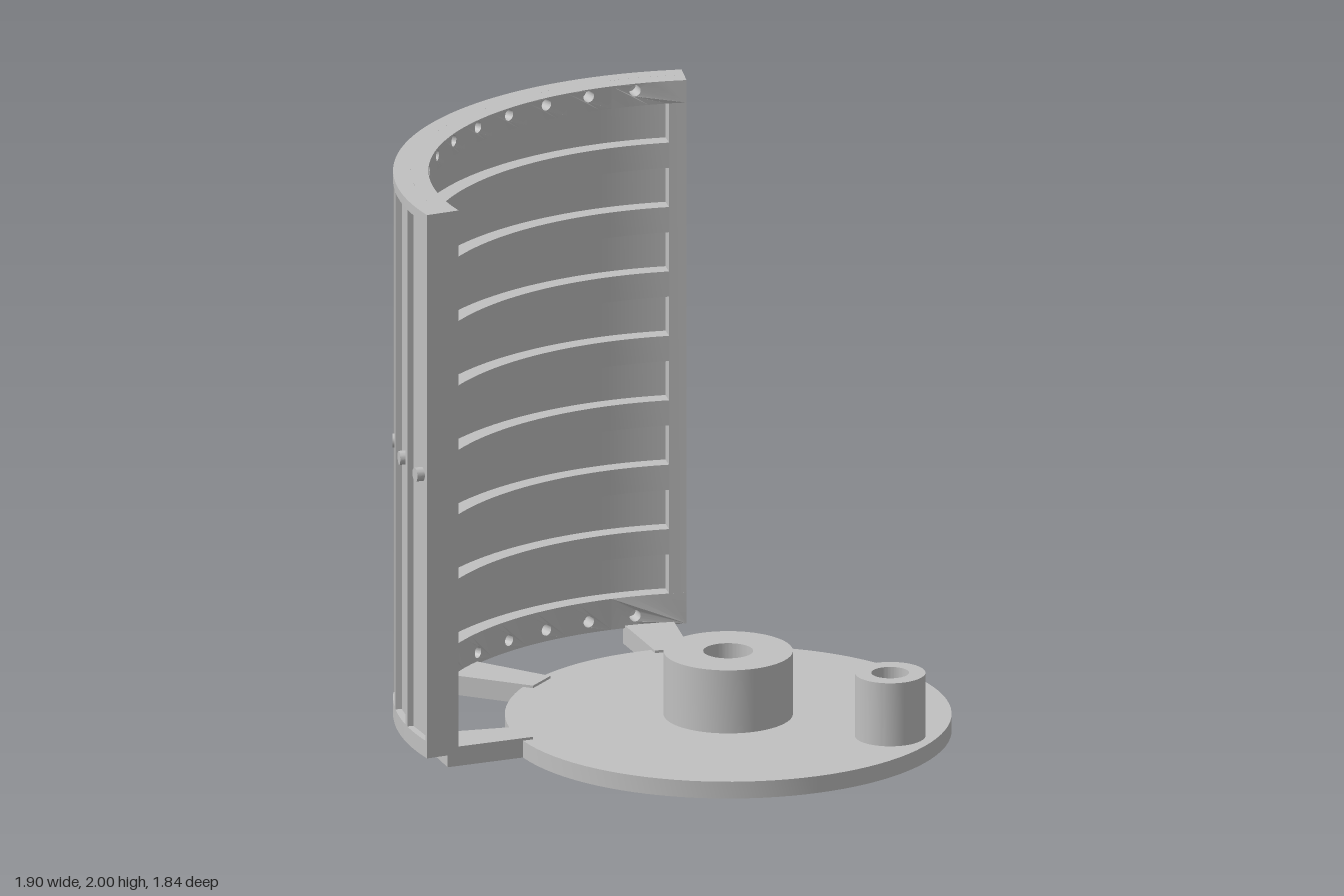
import * as THREE from 'three';
import { toCreasedNormals } from 'three/addons/utils/BufferGeometryUtils.js';

const CX = 0.185, CZ = 0.16;            // common axis of disc and curved wall
const R_IN = 1.02, R_GROOVE = 1.08, R_PANEL = 1.115, R_OUT = 1.14;
const A0 = -72, A1 = 36;                // wall span in degrees, measured from -x towards +z
const BASE = 0.06, TOP = 2;
const PANELS = 11, STEP = (A1 - A0) / PANELS;
const rad = THREE.MathUtils.degToRad;

export function createModel() {
  const model = new THREE.Group();
  const grey = new THREE.MeshStandardMaterial({ color: 0xc0c0c0 });
  grey.name = 'light grey';

  const add = (name, geometry, parent = model) => {
    const mesh = new THREE.Mesh(toCreasedNormals(geometry, 0.15), grey);
    mesh.name = name;
    parent.add(mesh);
    return mesh;
  };
  const group = (name) => {
    const g = new THREE.Group();
    g.name = name;
    model.add(g);
    return g;
  };
  // plan point at an angle and radius about the axis (shape y is -z)
  const polar = (deg, r) => new THREE.Vector2(CX - r * Math.cos(rad(deg)), -(CZ + r * Math.sin(rad(deg))));
  // extrude a plan shape upwards from y0 to y1
  const slab = (shape, y0, y1) =>
    new THREE.ExtrudeGeometry(shape, { depth: y1 - y0, bevelEnabled: false, curveSegments: 48 })
      .rotateX(-Math.PI / 2).translate(0, y0, 0);
  // curved block between two angles, radii and heights
  const arcBlock = (a0, a1, r0, r1, y0, y1, outerSegs) => {
    const n = Math.max(1, Math.ceil((a1 - a0) / 2)), m = outerSegs || n;
    const pts = [];
    for (let i = 0; i <= n; i++) pts.push(polar(a0 + (a1 - a0) * i / n, r0));
    for (let i = m; i >= 0; i--) pts.push(polar(a0 + (a1 - a0) * i / m, r1));
    return slab(new THREE.Shape(pts), y0, y1);
  };
  // disc or ring with round holes
  const ring = (x, z, r, holes, y0, y1) => {
    const shape = new THREE.Shape().absarc(x, -z, r, 0, Math.PI * 2);
    for (const [hx, hz, hr] of holes) shape.holes.push(new THREE.Path().absarc(hx, -hz, hr, 0, Math.PI * 2, true));
    return slab(shape, y0, y1);
  };

  // base disc with its two hollow bosses
  const hubHole = [CX, CZ, 0.085], pegHole = [0.77, 0.305, 0.064];
  add('baseDisc', ring(CX, CZ, 0.76, [hubHole, pegHole], 0, BASE));
  add('centreHub', ring(CX, CZ, 0.22, [hubHole], BASE, 0.285));
  add('sideBoss', ring(0.77, 0.305, 0.12, [pegHole], BASE, 0.285));

  // tapered arms joining disc and wall
  const arms = group('supportArms');
  for (const a of [64.7, 18.2, -28.4]) {
    const c = Math.cos(rad(-a)), s = Math.sin(rad(-a));
    const pt = (r, w) => new THREE.Vector2(CX - r * c - w * s, -(CZ + r * s - w * c));
    const shape = new THREE.Shape([pt(0.72, -0.062), pt(1.035, -0.088), pt(1.035, 0.088), pt(0.72, 0.062)]);
    add('supportArm', slab(shape, 0, 0.069), arms);
  }

  // wall core: groove floor inside, flat panel floors outside
  add('wallCore', arcBlock(A0, A1, R_GROOVE, R_PANEL / Math.cos(rad(STEP / 2)), BASE, TOP, PANELS));

  // outer frame: rims, upright ribs and a knob in each panel
  const frame = group('outerFrame');
  add('bottomRim', arcBlock(A0, A1, R_PANEL - 0.005, R_OUT, BASE, 0.12), frame);
  add('topRim', arcBlock(A0, A1, R_PANEL - 0.005, R_OUT, 1.965, TOP), frame);
  for (let i = 0; i <= PANELS; i++) {
    const a = A0 + STEP * i;
    add('uprightRib', arcBlock(Math.max(A0, a - 0.6), Math.min(A1, a + 0.6),
      R_PANEL - 0.005, R_OUT, 0.12, 1.965), frame);
  }
  for (let i = 0; i < PANELS; i++) {
    const a = rad(A0 + STEP * (i + 0.5)), r = 1.122;
    const knob = add('panelKnob', new THREE.CylinderGeometry(0.024, 0.024, 0.04, 48).rotateZ(Math.PI / 2), frame);
    knob.position.set(CX - r * Math.cos(a), 1.045, CZ + r * Math.sin(a));
    knob.rotation.y = a;
  }

  // inner lining: eight long grooves between curved shelves
  const lining = group('innerLining');
  const G0 = -68.6, G1 = 33, PITCH = 0.23, SLOT = 0.14, FIRST = 0.17, LAST = 1.92;
  add('liningEnd', arcBlock(A0, G0, R_IN, R_GROOVE, FIRST, LAST), lining);
  add('liningEnd', arcBlock(G1, A1, R_IN, R_GROOVE, FIRST, LAST), lining);
  for (let i = 0; i < 7; i++) {
    add('grooveShelf', arcBlock(G0, G1, R_IN, R_GROOVE, FIRST + SLOT + PITCH * i, FIRST + PITCH * (i + 1)), lining);
  }

  // top and bottom lining strips with a row of round holes, bent cell by cell
  const holeAngle = (i) => 34.3 - 9.62 * i;
  const holedCell = (a0, a1, y0, y1, hole, hy) => {
    const u = (deg) => rad(deg) * R_IN, n = 4, pts = [];
    for (let i = 0; i <= n; i++) pts.push(new THREE.Vector2(u(a0 + (a1 - a0) * i / n), y0));
    for (let i = n; i >= 0; i--) pts.push(new THREE.Vector2(u(a0 + (a1 - a0) * i / n), y1));
    const shape = new THREE.Shape(pts);
    shape.holes.push(new THREE.Path().absarc(u(hole), hy, 0.02, 0, Math.PI * 2, true));
    const geo = new THREE.ExtrudeGeometry(shape, { depth: R_GROOVE - R_IN, bevelEnabled: false, curveSegments: 24 });
    const p = geo.attributes.position;
    for (let i = 0; i < p.count; i++) {
      const a = p.getX(i) / R_IN, r = R_IN + p.getZ(i);
      p.setXYZ(i, CX - r * Math.cos(a), p.getY(i), CZ + r * Math.sin(a));
    }
    return geo;
  };
  for (const [y0, y1, hy] of [[BASE, FIRST, 0.1], [LAST, TOP, 1.975]]) {
    for (let i = 0; i < 11; i++) {
      const hi = i === 0 ? A1 : holeAngle(i - 0.5);
      const lo = i === 10 ? A0 : holeAngle(i + 0.5);
      add('holedStrip', holedCell(lo, hi, y0, y1, holeAngle(i), hy), lining);
    }
  }
  return model;
}
